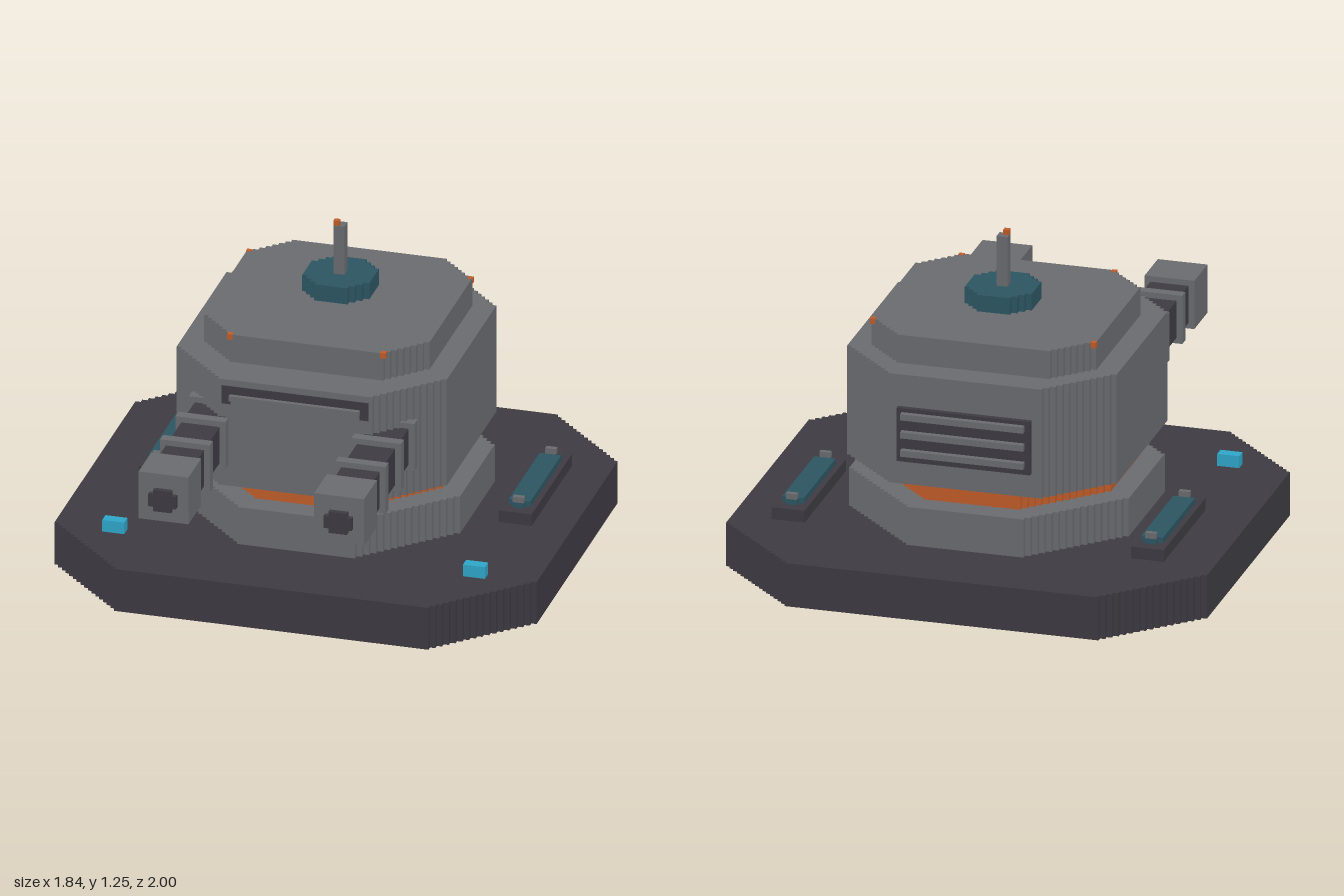
import * as THREE from 'three';

const paint = (name, color) => {
  const m = new THREE.MeshStandardMaterial({ color });
  m.name = name;
  return m;
};

export function createModel() {
  const dark = paint('dark steel', 0x3d3b42);
  const grey = paint('grey armour', 0x6a6b6f);
  const orange = paint('orange trim', 0xc05c2a);
  const teal = paint('teal glass', 0x2c5562);
  const cyan = paint('cyan light', 0x2fa6c8);
  const model = new THREE.Group();
  model.name = 'turret';

  const add = (name, geo, mat, parent = model) => {
    const mesh = new THREE.Mesh(geo, mat);
    mesh.name = name;
    parent.add(mesh);
    return mesh;
  };

  // Box given by its limits on each axis
  const box = (name, mat, x0, x1, y0, y1, z0, z1, parent) => {
    const geo = new THREE.BoxGeometry(x1 - x0, y1 - y0, z1 - z0);
    geo.translate((x0 + x1) / 2, (y0 + y1) / 2, (z0 + z1) / 2);
    return add(name, geo, mat, parent);
  };

  // Rectangle whose four corners are cut off in square stair steps
  const steppedShape = (hx, hy, cut, n) => {
    const s = cut / n, corner = [];
    for (let i = 0; i < n; i++) {
      corner.push([hx - i * s, hy - cut + i * s], [hx - (i + 1) * s, hy - cut + i * s]);
    }
    corner.push([hx - cut, hy]);
    const flip = (sx, sy) => corner.map(([x, y]) => new THREE.Vector2(x * sx, y * sy));
    return new THREE.Shape([
      ...flip(1, 1), ...flip(-1, 1).reverse(), ...flip(-1, -1), ...flip(1, -1).reverse(),
    ]);
  };

  // Horizontal stepped slab
  const slab = (name, mat, hx, z0, z1, y0, y1, cut, n) => {
    const geo = new THREE.ExtrudeGeometry(steppedShape(hx, (z1 - z0) / 2, cut, n),
      { depth: y1 - y0, bevelEnabled: false });
    geo.rotateX(-Math.PI / 2);
    geo.translate(0, y0, (z0 + z1) / 2);
    return add(name, geo, mat);
  };

  // Stacked body
  slab('base', dark, 0.92, -1, 0.715, 0, 0.17, 0.32, 16);
  slab('lowerRing', grey, 0.535, -0.7, 0.385, 0.17, 0.32, 0.31, 15);
  slab('turningRing', orange, 0.452, -0.61, 0.295, 0.32, 0.41, 0.265, 13);
  slab('turretBody', grey, 0.515, -0.7, 0.4, 0.41, 0.84, 0.22, 11);
  slab('roofCap', grey, 0.43, -0.59, 0.25, 0.84, 0.95, 0.135, 7);

  // Sensor on the roof
  slab('sensorDisc', teal, 0.128, -0.333, -0.075, 0.97, 1.035, 0.064, 3);
  box('mast', grey, -0.022, 0.02, 1.035, 1.23, -0.225, -0.183);
  box('mastTip', orange, -0.022, 0, 1.23, 1.25, -0.204, -0.183);

  // Vision slot with a lip below it
  box('visionSlot', dark, -0.28, 0.28, 0.775, 0.815, 0.38, 0.403);
  box('slotLip', grey, -0.248, 0.248, 0.762, 0.783, 0.4, 0.42);

  // Rear grille
  box('grillePlate', dark, -0.255, 0.255, 0.505, 0.715, -0.72, -0.69);
  for (const y of [0.545, 0.617, 0.688]) {
    box('grilleBar', grey, -0.235, 0.235, y - 0.012, y + 0.012, -0.743, -0.72);
  }

  for (const side of [-1, 1]) {
    // Gun barrel with collars and a muzzle block
    const gun = new THREE.Group();
    gun.name = side > 0 ? 'leftGun' : 'rightGun';
    gun.position.set(side * 0.335, 0.615, 0);
    model.add(gun);
    box('barrel', dark, -0.073, 0.073, -0.073, 0.073, 0.25, 0.81, gun);
    for (const [z0, z1] of [[0.27, 0.313], [0.45, 0.49], [0.655, 0.695], [0.81, 0.98]]) {
      box(z0 > 0.8 ? 'muzzle' : 'collar', grey, -0.095, 0.095, -0.095, 0.095, z0, z1, gun);
    }
    const bore = new THREE.ExtrudeGeometry(steppedShape(0.053, 0.043, 0.018, 1),
      { depth: 0.02, bevelEnabled: false });
    bore.translate(0, -0.006, 0.98);
    add('bore', bore, dark, gun);

    // Drop at each end of the vision slot
    const e = side * 0.263;
    box('slotEnd', dark, e - 0.017, e + 0.017, 0.742, 0.78, 0.38, 0.402);

    // Orange roof corner marks
    for (const [x, z] of [[0.292, 0.242], [0.422, -0.458]]) {
      box('cornerMark', orange, side * x - 0.01, side * x + 0.01, 0.93, 0.952, z - 0.01, z + 0.01);
    }

    // Light strip on a tray
    const strip = new THREE.Group();
    strip.name = 'lightStrip';
    strip.position.x = side > 0 ? 0.707 : -0.667;
    model.add(strip);
    box('tray', dark, -0.063, 0.063, 0.165, 0.217, -0.595, -0.06, strip);
    box('stripGlass', teal, -0.041, 0.041, 0.217, 0.239, -0.53, -0.12, strip);
    box('stripEnds', teal, -0.021, 0.021, 0.217, 0.238, -0.552, -0.1, strip);
    for (const z of [-0.542, -0.11]) {
      box('stripClamp', grey, -0.021, 0.021, 0.238, 0.26, z - 0.01, z + 0.01, strip);
    }

    // Marker light
    box('markerLight', cyan, side * 0.688 - 0.042, side * 0.688 + 0.042, 0.165, 0.217, 0.377, 0.42);
  }
  return model;
}
